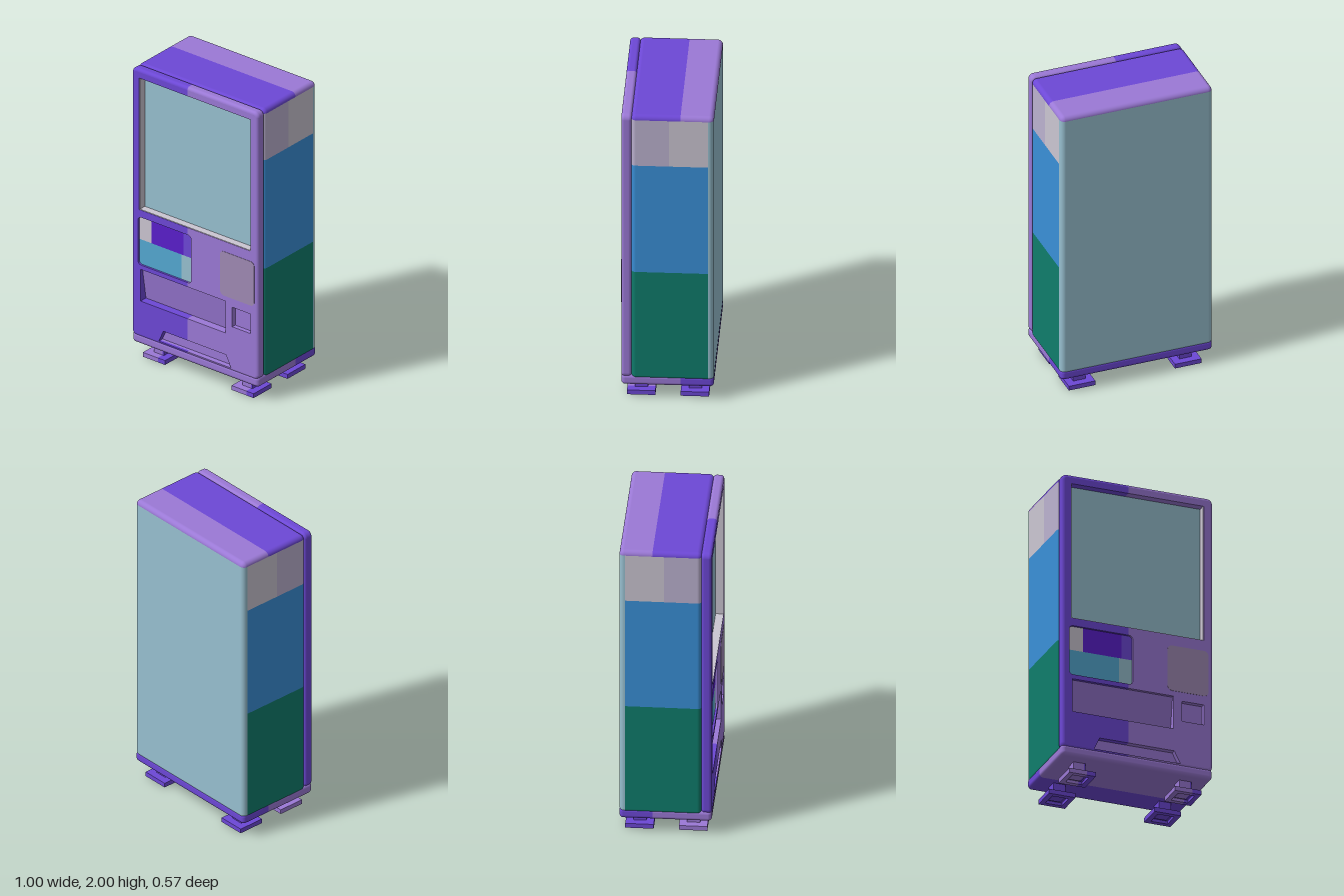
import * as THREE from 'three';
import { RoundedBoxGeometry } from 'three/addons/geometries/RoundedBoxGeometry.js';

const mat = (name, color) => new THREE.MeshStandardMaterial({ name, color });

// Rectangle outline with rounded corners, counter-clockwise
function roundRect(x0, y0, x1, y1, r, Type = THREE.Shape) {
  const s = new Type();
  if (r === 0) {
    s.moveTo(x0, y0); s.lineTo(x1, y0); s.lineTo(x1, y1); s.lineTo(x0, y1); s.closePath();
    return s;
  }
  s.absarc(x1 - r, y0 + r, r, -Math.PI / 2, 0);
  s.absarc(x1 - r, y1 - r, r, 0, Math.PI / 2);
  s.absarc(x0 + r, y1 - r, r, Math.PI / 2, Math.PI);
  s.absarc(x0 + r, y0 + r, r, Math.PI, Math.PI * 1.5);
  s.closePath();
  return s;
}

// Cut a geometry at a plane across one axis; returns [lower part, upper part]
function slice(geometry, axis, at) {
  const g = geometry.index ? geometry.toNonIndexed() : geometry;
  const p = g.attributes.position, n = g.attributes.normal;
  return [-1, 1].map((side) => {
    const pos = [], nor = [];
    for (let t = 0; t < p.count; t += 3) {
      const tri = [0, 1, 2].map((k) => ({
        p: new THREE.Vector3().fromBufferAttribute(p, t + k),
        n: new THREE.Vector3().fromBufferAttribute(n, t + k),
      }));
      const poly = [];
      tri.forEach((a, k) => {
        const b = tri[(k + 1) % 3];
        const da = (a.p[axis] - at) * side, db = (b.p[axis] - at) * side;
        if (da >= 0) poly.push(a);
        if (da * db < 0) {
          const f = da / (da - db);
          poly.push({ p: a.p.clone().lerp(b.p, f), n: a.n.clone().lerp(b.n, f).normalize() });
        }
      });
      for (let k = 1; k + 1 < poly.length; k++) {
        for (const v of [poly[0], poly[k], poly[k + 1]]) {
          pos.push(...v.p.toArray());
          nor.push(...v.n.toArray());
        }
      }
    }
    const out = new THREE.BufferGeometry();
    out.setAttribute('position', new THREE.Float32BufferAttribute(pos, 3));
    out.setAttribute('normal', new THREE.Float32BufferAttribute(nor, 3));
    return out;
  });
}

// Rounded rim of the door: inset outlines lofted along z
function doorRim(x, y0, y1, z0, z1, r) {
  const rings = [];
  for (let i = 0; i <= 6; i++) {
    const a = (i / 6) * Math.PI / 2;
    rings.push([r * (1 - Math.sin(a)), z0 + r * (1 - Math.cos(a))]);
  }
  for (let i = 0; i <= 6; i++) {
    const a = (i / 6) * Math.PI / 2;
    rings.push([r * (1 - Math.cos(a)), z1 - r * (1 - Math.sin(a))]);
  }
  const pos = [], index = [], corner = 0.035, steps = 6, count = 4 * (steps + 1);
  for (const [inset, z] of rings) {
    for (let j = 0; j < count; j++) {
      const c = Math.floor(j / (steps + 1));
      const a = (c - 1 + (j % (steps + 1)) / steps) * Math.PI / 2;
      const cx = (c < 2 ? 1 : -1) * (x - corner);
      const cy = c === 1 || c === 2 ? y1 - corner : y0 + corner;
      pos.push(cx + (corner - inset) * Math.cos(a), cy + (corner - inset) * Math.sin(a), z);
    }
  }
  for (let i = 0; i + 1 < rings.length; i++) {
    for (let j = 0; j < count; j++) {
      const a = i * count + j, b = i * count + (j + 1) % count;
      index.push(a, b, b + count, a, b + count, a + count);
    }
  }
  const g = new THREE.BufferGeometry();
  g.setAttribute('position', new THREE.Float32BufferAttribute(pos, 3));
  g.setIndex(index);
  g.computeVertexNormals();
  return g;
}

export function createModel() {
  const model = new THREE.Group();
  model.name = 'vendingMachine';
  const purple = mat('purple', 0x9b79d6), violet = mat('violet', 0x6d48d6);
  const paleBlue = mat('paleBlue', 0x98c0d0), lightGrey = mat('lightGrey', 0xcbc6d2);
  const lilac = mat('lilacGrey', 0xbcb2d0), blue = mat('blue', 0x3a90d8);
  const green = mat('green', 0x0f7d6c), deepViolet = mat('deepViolet', 0x5a1fcc);
  const cyan = mat('cyan', 0x54a8d2), mauve = mat('mauve', 0xa08ab4);

  const add = (name, geometry, material, x = 0, y = 0, z = 0) => {
    const m = new THREE.Mesh(geometry, material);
    m.name = name;
    m.position.set(x, y, z);
    model.add(m);
    return m;
  };
  const box = (name, material, w, h, d, x, y, z) =>
    add(name, new THREE.BoxGeometry(w, h, d), material, x, y, z);

  // Cabinet: two-tone roof, pale back, banded sides
  const cabinet = new RoundedBoxGeometry(1, 1.86, 0.51, 5, 0.03).translate(0, 1.07, -0.03);
  const [walls, roof] = slice(cabinet, 'y', 1.97);
  const [roofBack, roofFront] = slice(roof, 'z', -0.08);
  add('roofBack', roofBack, purple);
  add('roofFront', roofFront, violet);
  const [back, sides] = slice(walls, 'z', -0.25);
  add('backPanel', back, paleBlue);
  const [lower, topBand] = slice(sides, 'y', 1.65);
  const [greenBand, blueBand] = slice(lower, 'y', 0.9);
  const [topRear, topFront] = slice(topBand, 'z', -0.01);
  add('sideBandGreen', greenBand, green);
  add('sideBandBlue', blueBand, blue);
  add('sideBandTopRear', topRear, lightGrey);
  add('sideBandTopFront', topFront, lilac);

  // Door: flat face with openings, plus its rounded rim
  const face = roundRect(-0.48, 0.17, 0.48, 1.98, 0.015);
  const notch = new THREE.Path([[-0.285, 0.171], [0.285, 0.171], [0.245, 0.25], [-0.25, 0.25]]
    .map(([x, y]) => new THREE.Vector2(x, y)));
  face.holes.push(
    roundRect(-0.44, 1.03, 0.44, 1.94, 0, THREE.Path),
    roundRect(-0.45, 0.65, -0.03, 0.98, 0.025, THREE.Path),
    roundRect(-0.43, 0.4, 0.24, 0.62, 0, THREE.Path),
    roundRect(0.295, 0.46, 0.44, 0.595, 0, THREE.Path),
    notch,
  );
  const faceGeometry = new THREE.ExtrudeGeometry(face, { depth: 0.06, bevelEnabled: false, curveSegments: 6 })
    .translate(0, 0, 0.225);
  for (const [name, g] of [['doorFace', faceGeometry], ['doorRim', doorRim(0.5, 0.15, 2, 0.22, 0.285, 0.02)]]) {
    const [right, left] = slice(g, 'x', -0.06);
    add(name + 'Right', right, violet);
    add(name + 'Left', left, purple);
  }

  // Display window with its liner
  box('windowGlass', paleBlue, 0.88, 0.91, 0.008, 0, 1.485, 0.231);
  box('windowSill', lightGrey, 0.88, 0.004, 0.048, 0, 1.032, 0.259);
  for (const s of [-1, 1]) box('windowJamb', lightGrey, 0.004, 0.91, 0.048, s * 0.438, 1.485, 0.259);

  // Control panel in coloured fields
  const panel = new THREE.ShapeGeometry(roundRect(-0.45, 0.65, -0.03, 0.98, 0.025), 6).translate(0, 0, 0.272);
  const [panelLow, panelHigh] = slice(panel, 'y', 0.82);
  const [lowA, lowB] = slice(panelLow, 'x', -0.115);
  const [highA, rest] = slice(panelHigh, 'x', -0.355);
  const [highB, highC] = slice(rest, 'x', -0.1);
  add('panelCyan', lowA, cyan);
  add('panelPaleBlue', lowB, paleBlue);
  add('panelGrey', highA, lightGrey);
  add('panelDeepViolet', highB, deepViolet);
  add('panelViolet', highC, violet);

  // Payment plate
  add('paymentPlate', new THREE.ExtrudeGeometry(roundRect(0.2, 0.655, 0.47, 0.96, 0.03),
    { depth: 0.003, bevelEnabled: false }), mauve, 0, 0, 0.284);

  // Delivery flap, leaning inward at the bottom
  add('deliveryFlap', new THREE.PlaneGeometry(0.67, 0.224), purple, -0.095, 0.51, 0.249).rotation.x = 0.158;

  // Coin return and toe recess
  box('coinReturn', purple, 0.145, 0.135, 0.008, 0.3675, 0.5275, 0.251);
  box('toeRecess', purple, 0.58, 0.09, 0.02, 0, 0.21, 0.24);

  // Base slab
  const slab = new RoundedBoxGeometry(1, 0.073, 0.57, 4, 0.025).translate(0, 0.1355, 0);
  const [slabBack, slabFront] = slice(slab, 'z', -0.08);
  add('baseBack', slabBack, violet);
  add('baseFront', slabFront, purple);

  // Feet: post, plate and hollow underside
  const ring = roundRect(-0.0875, -0.0875, 0.0875, 0.0875, 0);
  ring.holes.push(roundRect(-0.055, -0.055, 0.055, 0.055, 0, THREE.Path));
  const footParts = [
    ['footPost', new THREE.BoxGeometry(0.08, 0.09, 0.08).translate(0, 0.06, 0)],
    ['footPlate', new THREE.BoxGeometry(0.175, 0.01, 0.175).translate(0, 0.025, 0)],
    ['footRing', new THREE.ExtrudeGeometry(ring, { depth: 0.02, bevelEnabled: false })
      .rotateX(-Math.PI / 2)],
  ];
  for (const x of [-0.35, 0.35]) {
    for (const [name, g] of footParts) {
      const [right, left] = slice(g, 'x', 0.03);
      add(name + 'FrontRight', right, purple, x, 0, 0.165);
      add(name + 'FrontLeft', left, violet, x, 0, 0.165);
      add(name + 'Rear', g, violet, x, 0, -0.165);
    }
  }
  return model;
}
